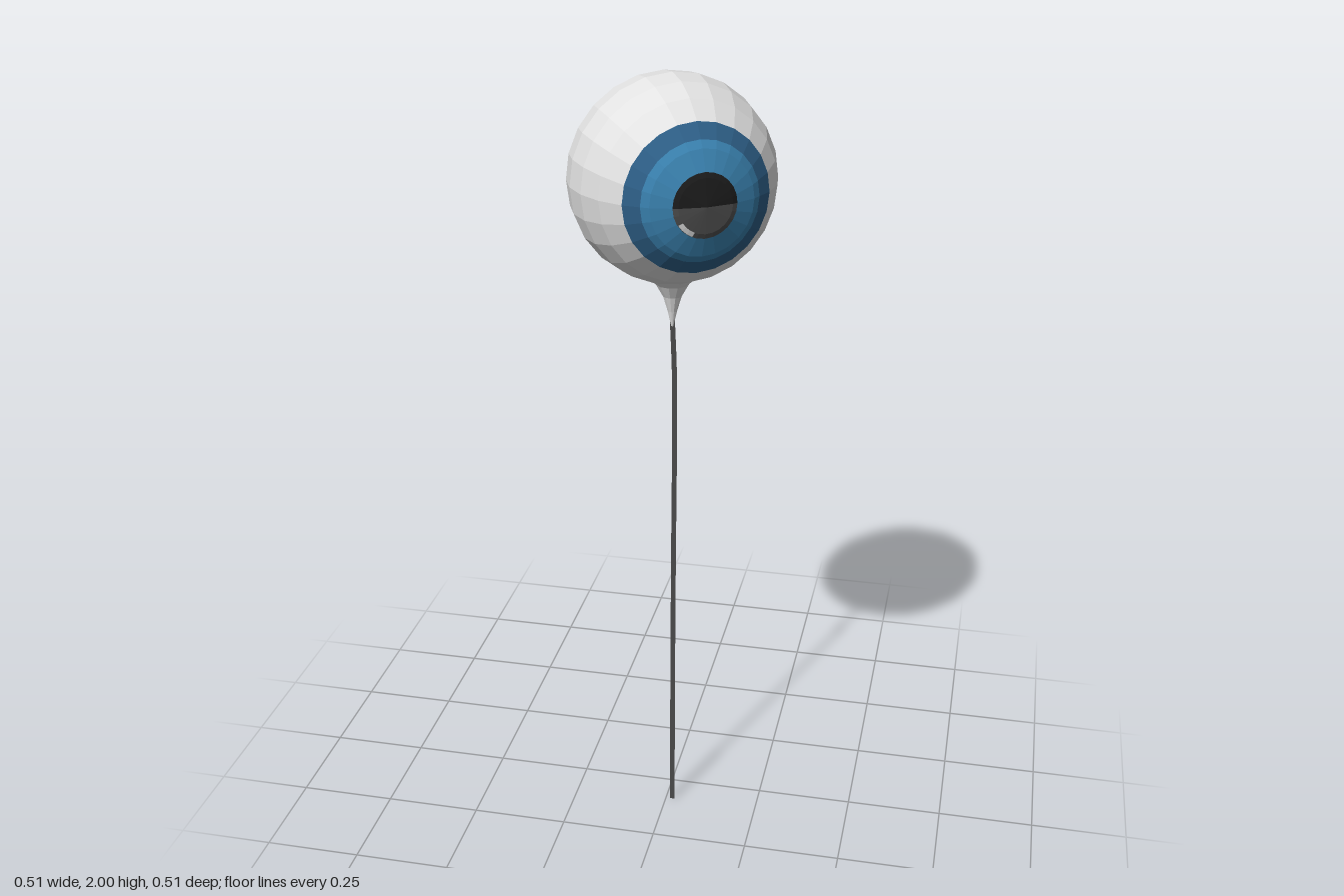
import * as THREE from 'three';

const RADIUS = 0.254;
const STEP = 15; // degrees between rings of the faceted ball
const rad = THREE.MathUtils.degToRad;

const mat = (name, color, extra = {}) => {
  const m = new THREE.MeshStandardMaterial({ color, flatShading: true, ...extra });
  m.name = name;
  return m;
};

// Point on the faceted ball outline, at an angle from the gaze axis
function outlinePoint(deg) {
  const at = d => new THREE.Vector2(Math.sin(rad(d)) * RADIUS, Math.cos(rad(d)) * RADIUS);
  const low = Math.floor(deg / STEP) * STEP;
  const p = at(low).lerp(at(low + STEP), (deg - low) / STEP);
  p.x = Math.max(0, p.x);
  return p;
}

// Band of the ball between two angles from the gaze axis
function band(name, material, inner, outer, segments = 24, start = 0, length = 360) {
  const angles = [outer];
  for (let a = 180; a >= 0; a -= STEP) if (a < outer && a > inner) angles.push(a);
  angles.push(inner);
  const geo = new THREE.LatheGeometry(angles.map(outlinePoint), segments, rad(start), rad(length));
  geo.rotateX(Math.PI / 2);
  const mesh = new THREE.Mesh(geo, material);
  mesh.name = name;
  return mesh;
}

// Flat strip following a centre line, widened along x
function ribbon(points, width, segments) {
  const curve = new THREE.CatmullRomCurve3(points.map(p => new THREE.Vector3(...p)));
  const geo = new THREE.PlaneGeometry(width, 1, 1, segments);
  const pos = geo.attributes.position;
  for (let i = 0; i < pos.count; i++) {
    const c = curve.getPoint(0.5 - pos.getY(i));
    pos.setXYZ(i, c.x + pos.getX(i), c.y, c.z);
  }
  geo.computeVertexNormals();
  return geo;
}

export function createModel() {
  const white = mat('white', 0xe2e2e2, { side: THREE.DoubleSide });
  const rim = mat('dark blue', 0x2e6088);
  const blue = mat('blue', 0x3a82b0);
  const black = mat('black', 0x1c1c1c);
  const grey = mat('pupil grey', 0x4c4c4c);
  const glint = mat('glint', 0xe0e0e0);
  const cord = mat('string grey', 0x484848, { side: THREE.DoubleSide });

  const model = new THREE.Group();
  model.name = 'eyeBalloon';

  // Eyeball, turned towards the model's left
  const ball = new THREE.Group();
  ball.name = 'eyeball';
  ball.position.y = 2 - RADIUS;
  ball.rotation.y = rad(30);
  ball.add(
    band('eyeWhite', white, 45, 180),
    band('irisRim', rim, 35, 45),
    band('iris', blue, 18, 35),
    band('pupilUpper', black, 0, 18, 12, 90, 180),
    band('pupilLower', grey, 0, 18, 12, -90, 180)
  );
  const spark = band('pupilGlint', glint, 14.8, 17.6, 3, -58, 34);
  spark.scale.setScalar(1.004);
  ball.add(spark);
  model.add(ball);

  // Flared neck under the ball
  const neckProfile = [[0.003, 1.37], [0.012, 1.41], [0.024, 1.45], [0.042, 1.482], [0.068, 1.508]];
  const neck = new THREE.Mesh(
    new THREE.LatheGeometry(neckProfile.map(p => new THREE.Vector2(...p)), 12), white);
  neck.name = 'neck';
  model.add(neck);

  // Hanging string
  const path = [[0, 1.39, 0], [0.006, 1.25, 0.004], [0.009, 1.1, 0.014],
    [0.011, 0.75, 0.037], [0.014, 0.35, 0.062], [0.018, 0, 0.085]];
  const string = new THREE.Mesh(ribbon(path, 0.013, 16), cord);
  string.name = 'string';
  model.add(string);

  return model;
}
